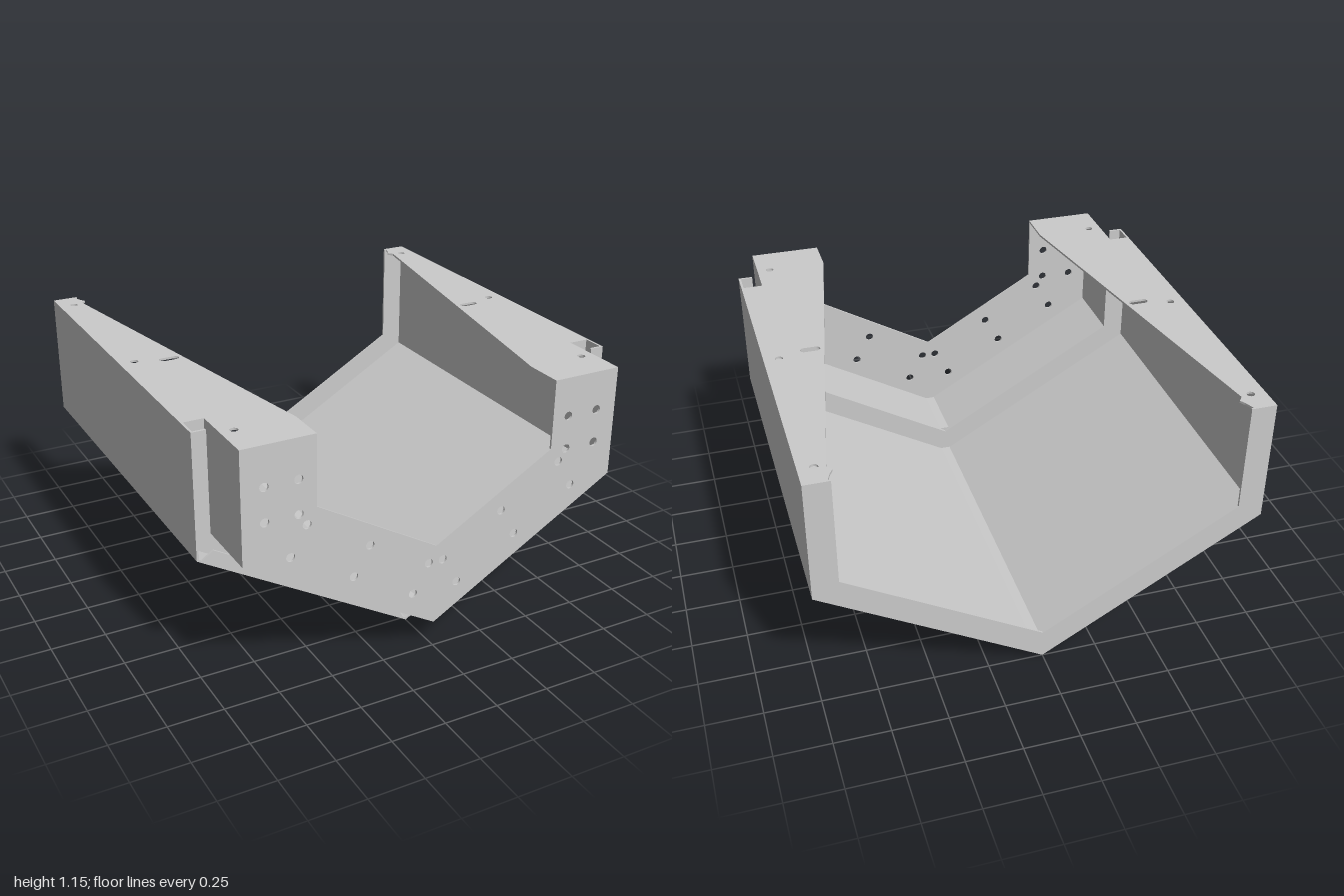
import * as THREE from 'three';

const T = 0.01;        // sheet thickness
const TOP = 1.15;      // height of the top edge
const SLOPE = 0.577;   // 30 degree V floor
const material = new THREE.MeshStandardMaterial({ color: 0xcccccc, side: THREE.DoubleSide });

const toShape = (pts) => new THREE.Shape(pts.map(([x, y]) => new THREE.Vector2(x, y)));

function hole(x, y, r) {
  const path = new THREE.Path();
  path.absarc(x, y, r, 0, Math.PI * 2, true);
  return path;
}

function slot(x, y, halfLength, r) {
  const path = new THREE.Path();
  path.absarc(x + halfLength - r, y, r, -Math.PI / 2, Math.PI / 2, false);
  path.absarc(x - halfLength + r, y, r, Math.PI / 2, Math.PI * 1.5, false);
  path.closePath();
  return path;
}

// V-bottomed U outline: half width w, valley height y0, band width inset
function band(w, y0, inset) {
  const wi = w - inset, yi = y0 + inset * 1.1547;
  const half = [[w, y0 + SLOPE * w], [w, TOP], [wi, TOP], [wi, yi + SLOPE * wi]];
  const other = half.map(([x, y]) => [-x, y]).reverse();
  return toShape([[0, y0], ...half, [0, yi], ...other]);
}

export function createModel() {
  const group = new THREE.Group();

  function add(name, shape, z0, z1) {
    const geo = new THREE.ExtrudeGeometry(shape, { depth: z1 - z0, bevelEnabled: false, curveSegments: 10 });
    const mesh = new THREE.Mesh(geo, material);
    mesh.name = name;
    mesh.position.z = z0;
    group.add(mesh);
    return mesh;
  }

  // Main trough, its rear flange and the step plate to the narrower neck
  add('troughShell', band(1, 0, T), -1, 0.77);
  add('rearFlange', band(1, 0, 0.115), -1, -1 + T);
  add('stepPlate', band(1, 0, 0.11), 0.655, 0.655 + T);

  // Neck and drilled front flange
  add('neckShell', band(0.9, 0.12, T), 0.655, 1);
  const front = band(0.9, 0.12, 0.33);
  const bolts = [
    [0.8, 0.97], [0.65, 0.97], [0.8, 0.815], [0.65, 0.815], [0.615, 0.76], [0.69, 0.63],
    [0.325, 0.59], [0.4, 0.46], [0.035, 0.425], [0.11, 0.295],
  ];
  for (const s of [-1, 1]) for (const [x, y] of bolts) front.holes.push(hole(s * x, y, 0.02));
  add('frontFlange', front, 1 - T, 1);

  for (const s of [-1, 1]) {
    const side = s > 0 ? 'left' : 'right';
    const mirror = (pts) => pts.map(([x, y]) => [s * x, y]);

    // Tapered top flange, outline in x and z
    const top = toShape(mirror([
      [1, -1], [0.9, -1], [0.88, -0.95], [0.865, -0.925], [0.885, -0.9], [0.6, 0.66],
      [0.57, 0.82], [0.57, 1], [0.9, 1], [0.9, 0.66], [1, 0.66],
    ]));
    for (const [x, z] of [[0.932, -0.89], [0.932, -0.04], [0.84, 0.82]]) top.holes.push(hole(s * x, z, 0.018));
    top.holes.push(slot(s * 0.785, 0, 0.045, 0.018));
    const flange = add(side + 'TopFlange', top, 0, T);
    flange.geometry.rotateX(Math.PI / 2);
    flange.position.set(0, TOP, 0);

    // Folded lips round the trough mouth, relieved at the corners
    add(side + 'WallLip', toShape(mirror([[1, 0.65], [1, TOP], [0.935, TOP], [0.935, 0.65]])), 0.77 - T, 0.77);
    add(side + 'FloorLip', toShape(mirror([
      [0.01, 0.006], [0.985, 0.568], [0.925, 0.609], [0.06, 0.11],
    ])), 0.77 - T, 0.77);
  }

  // Narrow bend strips along the valley
  for (const [name, y, z0, z1] of [['troughValley', 0.018, -0.985, 0.655], ['neckValley', 0.138, 0.67, 0.985]]) {
    add(name, toShape([[0, y - 0.012], [0.022, y + 0.008], [-0.022, y + 0.008]]), z0, z1);
  }

  return group;
}
